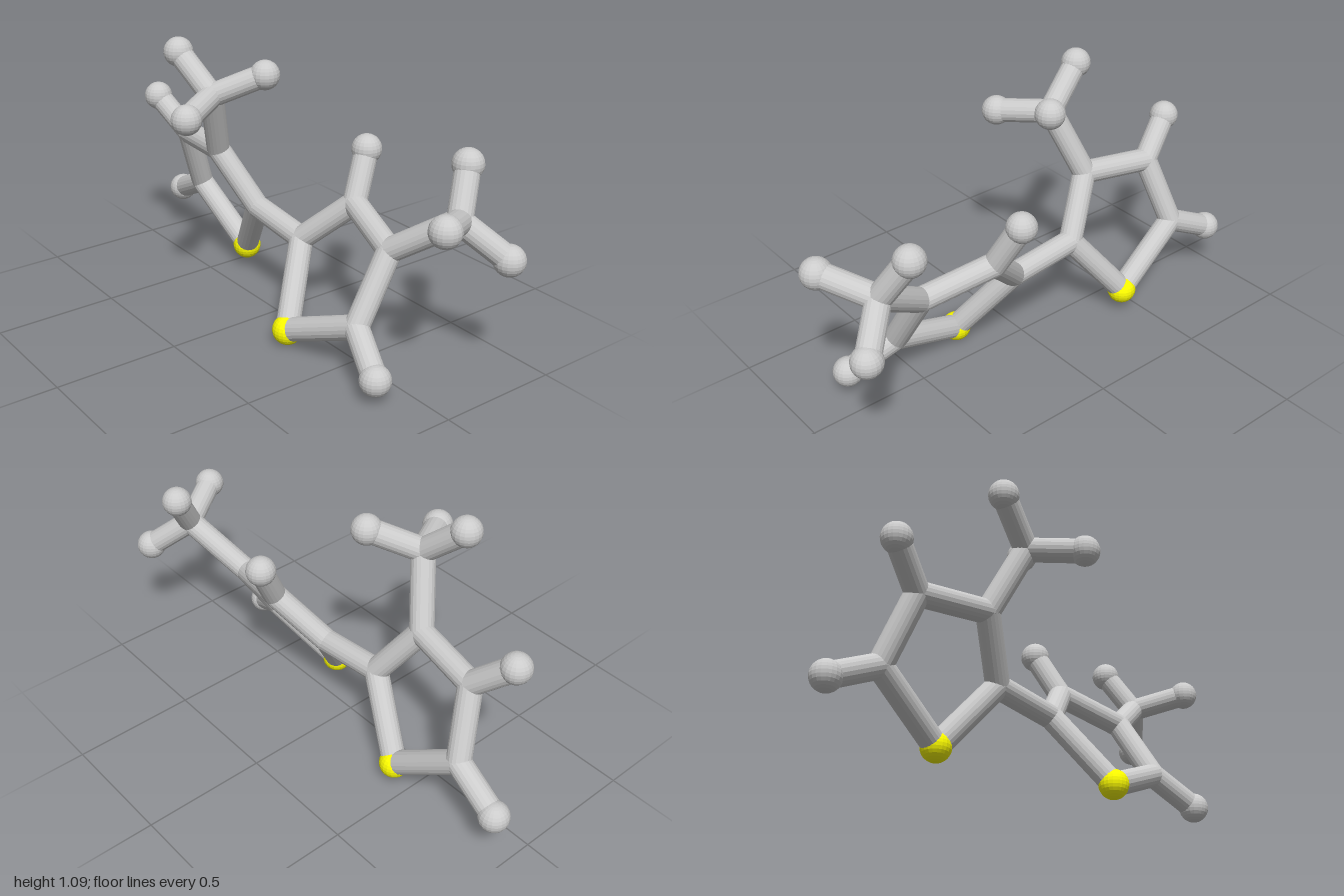
import * as THREE from 'three';

const STICK = 0.048, BALL = 0.06;

// Atom centres
const atoms = {
  // right-hand ring (-x) with its side groups
  sulfurA: [-0.43, 0.10, -0.15],
  carbonA2: [-0.215, 0.38, -0.055],
  carbonA3: [-0.365, 0.61, 0.035],
  carbonA4: [-0.67, 0.585, -0.015],
  carbonA5: [-0.735, 0.31, -0.12],
  hydrogenA4: [-0.825, 0.725, 0.04],
  hydrogenA5: [-0.942, 0.21, -0.143],
  methylA: [-0.26, 0.885, 0.13],
  hydrogenA6: [-0.43, 1.033, 0.173],
  hydrogenA7: [-0.12, 0.975, -0.027],
  hydrogenA8: [-0.14, 0.855, 0.325],
  // left-hand ring (+x) with its side groups
  sulfurB: [0.24, 0.062, 0.13],
  carbonB2: [0.085, 0.345, -0.055],
  carbonB3: [0.27, 0.53, -0.17],
  carbonB4: [0.56, 0.46, -0.095],
  carbonB5: [0.575, 0.20, 0.067],
  hydrogenB3: [0.22, 0.718, -0.267],
  hydrogenB5: [0.76, 0.09, 0.132],
  methylB: [0.80, 0.633, -0.20],
  hydrogenB6: [0.73, 0.805, -0.298],
  hydrogenB7: [0.925, 0.69, -0.007],
  hydrogenB8: [0.937, 0.50, -0.32],
};

// Each chain is a run of bonded atoms
const chains = [
  'sulfurA carbonA2 carbonA3 carbonA4 carbonA5 sulfurA',
  'sulfurB carbonB2 carbonB3 carbonB4 carbonB5 sulfurB',
  'carbonA2 carbonB2',
  'carbonA4 hydrogenA4', 'carbonA5 hydrogenA5',
  'carbonB3 hydrogenB3', 'carbonB5 hydrogenB5',
  'carbonA3 methylA hydrogenA6', 'hydrogenA7 methylA hydrogenA8',
  'carbonB4 methylB hydrogenB6', 'hydrogenB7 methylB hydrogenB8',
];

export function createModel() {
  const group = new THREE.Group();
  group.name = 'molecule';
  const grey = new THREE.MeshStandardMaterial({ color: 0xcccccc, flatShading: true });
  const yellow = new THREE.MeshStandardMaterial({ color: 0xffff00, flatShading: true });
  const ball = new THREE.SphereGeometry(BALL, 20, 14);
  const joint = new THREE.SphereGeometry(STICK, 20, 14);
  const up = new THREE.Vector3(0, 1, 0);

  // Balls at the tips and sulfurs, stick-sized joints at the carbons
  for (const [name, p] of Object.entries(atoms)) {
    const isBall = /^(hydrogen|sulfur)/.test(name);
    const mesh = new THREE.Mesh(isBall ? ball : joint, name.startsWith('sulfur') ? yellow : grey);
    mesh.name = name;
    mesh.position.set(...p);
    group.add(mesh);
  }

  // Bond sticks
  for (const chain of chains) {
    const names = chain.split(' ');
    for (let i = 1; i < names.length; i++) {
      const a = new THREE.Vector3(...atoms[names[i - 1]]);
      const b = new THREE.Vector3(...atoms[names[i]]);
      const dir = b.clone().sub(a);
      const stick = new THREE.Mesh(new THREE.CylinderGeometry(STICK, STICK, dir.length(), 20, 1, true), grey);
      stick.name = `bond ${names[i - 1]} ${names[i]}`;
      stick.position.copy(a).add(b).multiplyScalar(0.5);
      stick.quaternion.setFromUnitVectors(up, dir.normalize());
      group.add(stick);
    }
  }
  return group;
}
